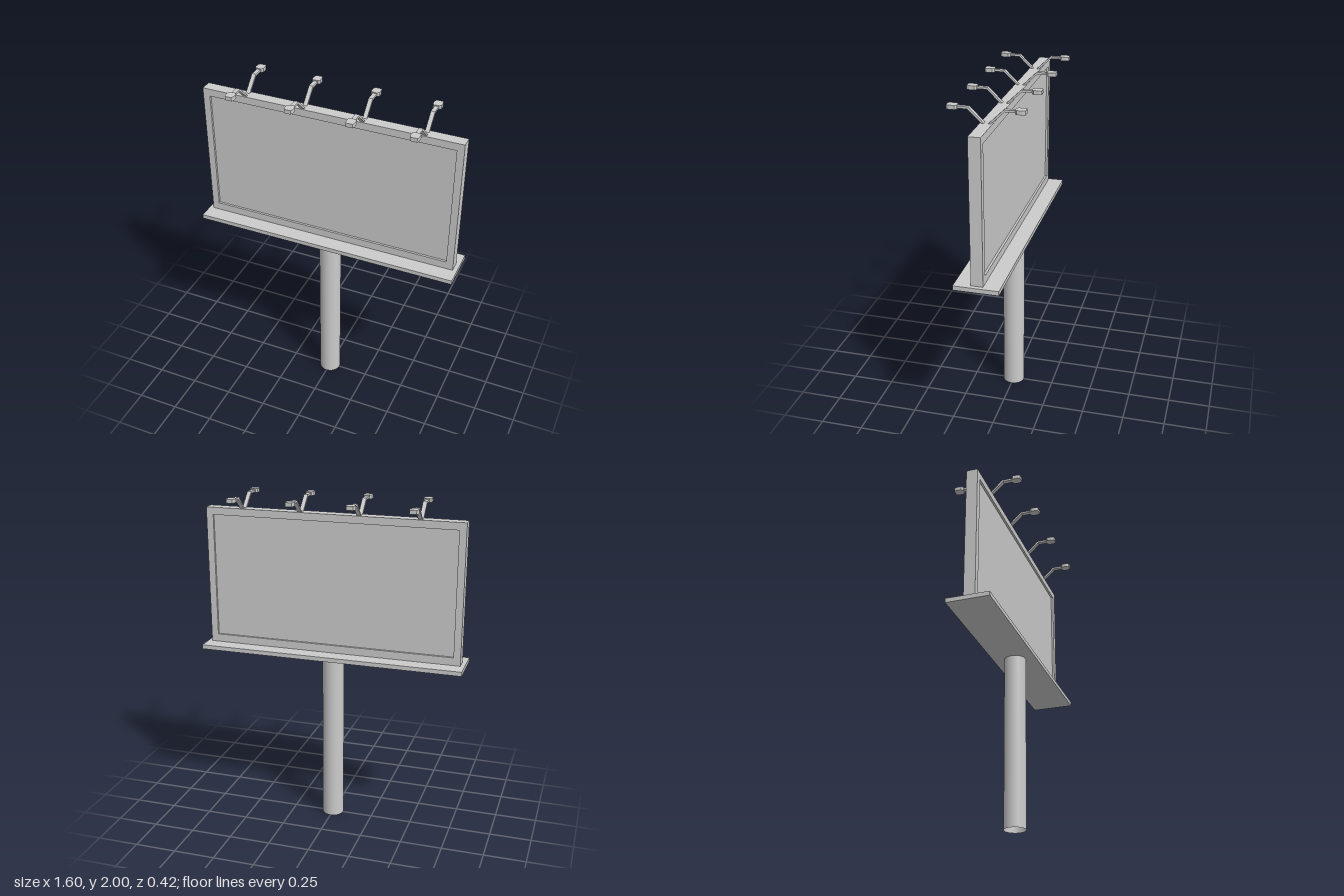
import * as THREE from 'three';

const material = new THREE.MeshStandardMaterial({ color: 0xcccccc });
const openMaterial = new THREE.MeshStandardMaterial({ color: 0xcccccc, side: THREE.DoubleSide });

function addMesh(parent, name, geometry, mat = material) {
  const mesh = new THREE.Mesh(geometry, mat);
  mesh.name = name;
  parent.add(mesh);
  return mesh;
}

const points = (list) => list.map(([x, y]) => new THREE.Vector2(x, y));

// Rectangle outline from half width and bottom / top heights
const rectangle = (w, y0, y1) => points([[-w, y0], [w, y0], [w, y1], [-w, y1]]);

// One lamp on a bent arm, reaching towards +z
function createLamp() {
  const lamp = new THREE.Group();

  // Flat bent arm: side profile (z, y) extruded across x
  const armWidth = 0.024;
  const profile = new THREE.Shape(points([
    [0.008, 1.91], [0.022, 1.91], [0.099, 1.982], [0.165, 1.982], [0.165, 1.994], [0.094, 1.994],
  ]));
  const arm = new THREE.ExtrudeGeometry(profile, { depth: armWidth, bevelEnabled: false });
  arm.translate(0, 0, -armWidth / 2).rotateY(-Math.PI / 2);
  addMesh(lamp, 'lampArm', arm);

  // Lamp head: plan outline (x, z) with clipped corners, extruded downwards
  const outline = new THREE.Shape(points([
    [-0.014, 0.154], [0.014, 0.154], [0.025, 0.165], [0.025, 0.195],
    [0.019, 0.21], [-0.019, 0.21], [-0.025, 0.195], [-0.025, 0.165],
  ]));
  const head = new THREE.ExtrudeGeometry(outline, { depth: 0.023, bevelEnabled: false });
  head.rotateX(Math.PI / 2).translate(0, 2, 0);
  addMesh(lamp, 'lampHead', head);
  return lamp;
}

export function createModel() {
  const model = new THREE.Group();
  model.name = 'billboard';

  // Hollow pole
  const pole = new THREE.CylinderGeometry(0.065, 0.065, 1.056, 32, 1, true);
  addMesh(model, 'pole', pole, openMaterial).position.y = 0.528;

  // Walkway platform
  addMesh(model, 'platform', new THREE.BoxGeometry(1.6, 0.026, 0.256)).position.y = 1.067;

  // Frame with the opening cut through
  const frameDepth = 0.068;
  const frameShape = new THREE.Shape(rectangle(0.775, 1.08, 1.913));
  frameShape.holes.push(new THREE.Path(rectangle(0.733, 1.127, 1.869)));
  const frame = new THREE.ExtrudeGeometry(frameShape, { depth: frameDepth, bevelEnabled: false });
  frame.translate(0, 0, -frameDepth / 2);
  addMesh(model, 'frame', frame);

  // Recessed display panel, seen from both sides
  addMesh(model, 'panel', new THREE.BoxGeometry(1.466, 0.742, 0.042)).position.y = 1.498;

  // Four pairs of lamps along the top edge
  for (let i = 0; i < 4; i++) {
    for (const side of ['front', 'back']) {
      const lamp = createLamp();
      lamp.name = `${side}Lamp${i + 1}`;
      lamp.position.x = -0.511 + i * 0.354;
      if (side === 'back') lamp.rotation.y = Math.PI;
      model.add(lamp);
    }
  }
  return model;
}
